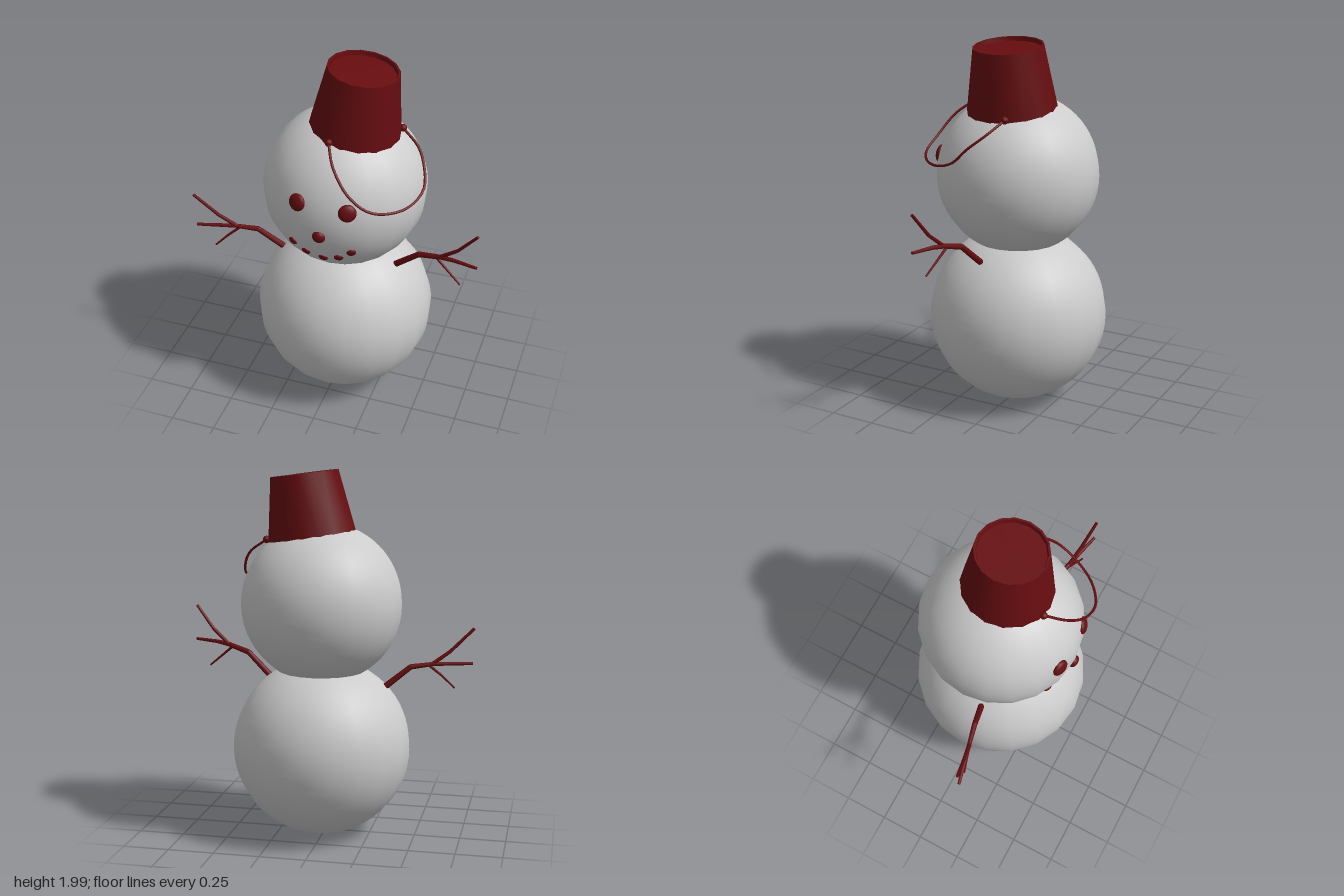
import * as THREE from 'three';
import { toCreasedNormals } from 'three/addons/utils/BufferGeometryUtils.js';

const V = (x, y, z) => new THREE.Vector3(x, y, z);

export function createModel() {
  const model = new THREE.Group();
  model.name = 'snowman';
  const snow = new THREE.MeshStandardMaterial({ color: 0xcccccc });
  const red = new THREE.MeshStandardMaterial({ color: 0x660d10 });
  const redThin = new THREE.MeshStandardMaterial({ color: 0x660d10, side: THREE.DoubleSide });

  const add = (name, geometry, material, parent = model) => {
    const mesh = new THREE.Mesh(geometry, material);
    mesh.name = name;
    parent.add(mesh);
    return mesh;
  };

  // Snowballs
  const headCentre = V(0.02, 1.28, 0);
  const headRadius = 0.436;
  add('body', new THREE.SphereGeometry(0.486, 20, 32), snow).position.set(0.02, 0.49, 0);
  add('head', new THREE.SphereGeometry(headRadius, 20, 32), snow).position.copy(headCentre);

  // Flattened buttons laid on the head, facing outward
  const button = (name, x, y, radius, depth) => {
    const dx = x - headCentre.x, dy = y - headCentre.y;
    const normal = V(dx, dy, Math.sqrt(headRadius ** 2 - dx * dx - dy * dy)).normalize();
    const mesh = add(name, new THREE.SphereGeometry(1, 16, 10), red);
    mesh.scale.set(radius, radius, depth);
    mesh.position.copy(headCentre).addScaledVector(normal, headRadius - 0.002);
    mesh.quaternion.setFromUnitVectors(V(0, 0, 1), normal);
  };
  button('rightEye', -0.103, 1.385, 0.047, 0.022);
  button('leftEye', 0.163, 1.372, 0.047, 0.022);
  button('nose', 0.02, 1.215, 0.035, 0.024);
  [[-0.145, 1.11], [-0.075, 1.06], [0.02, 1.04], [0.105, 1.06], [0.175, 1.11]]
    .forEach(([x, y], i) => button('mouth' + (i + 1), x, y, 0.025, 0.012));

  // Upturned bucket hat with a recessed base
  const profile = [[0.244, -0.025], [0.185, 0.34], [0.174, 0.34], [0.17, 0.318], [0, 0.318]]
    .map(([r, y]) => new THREE.Vector2(r, y));
  const bucket = add('bucketHat',
    toCreasedNormals(new THREE.LatheGeometry(profile, 16), 0.6), redThin);
  bucket.position.set(0.073, 1.636, 0.006);
  bucket.rotation.z = -0.125;

  // Drooping wire handle and its two pivots
  const wire = [
    V(0.01, 1.66, 0.24), V(0.07, 1.585, 0.345), V(0.17, 1.475, 0.405), V(0.28, 1.41, 0.41),
    V(0.385, 1.385, 0.34), V(0.45, 1.385, 0.24), V(0.48, 1.42, 0.13), V(0.46, 1.49, 0.06),
    V(0.405, 1.56, -0.02), V(0.305, 1.625, -0.075),
  ];
  add('bucketHandle',
    new THREE.TubeGeometry(new THREE.CatmullRomCurve3(wire), 36, 0.007, 6), redThin);
  for (const end of [wire[0], wire[wire.length - 1]]) {
    add('handlePivot', new THREE.SphereGeometry(0.02, 10, 8), red).position.copy(end);
  }

  // Tapered twig through [x, y] points, sweeping forward as it leaves the body
  const twig = (name, points, r0, r1, parent) => {
    const path = points.map(([x, y]) => V(x, y, 0.06 + (Math.abs(x) - 0.325) * 0.26));
    const radius = i => r0 + (r1 - r0) * i / (path.length - 1);
    for (let i = 0; i < path.length - 1; i++) {
      const along = path[i + 1].clone().sub(path[i]);
      const piece = add(name,
        new THREE.CylinderGeometry(radius(i + 1), radius(i), along.length(), 8), red, parent);
      piece.position.copy(path[i]).addScaledVector(along, 0.5);
      piece.quaternion.setFromUnitVectors(V(0, 1, 0), along.normalize());
      if (i > 0) {
        add(name + 'Joint', new THREE.SphereGeometry(radius(i), 8, 6), red, parent)
          .position.copy(path[i]);
      }
    }
  };
  const arm = (name, main, upper, lower) => {
    const group = new THREE.Group();
    group.name = name;
    model.add(group);
    twig('branch', main, 0.018, 0.008, group);
    twig('upperTwig', upper, 0.011, 0.008, group);
    twig('lowerTwig', lower, 0.008, 0.005, group);
  };
  arm('rightArm',
    [[-0.3, 0.805], [-0.455, 0.93], [-0.575, 0.945], [-0.785, 0.945]],
    [[-0.57, 0.945], [-0.665, 1.015], [-0.79, 1.14]],
    [[-0.55, 0.94], [-0.62, 0.88], [-0.69, 0.81]]);
  arm('leftArm',
    [[0.31, 0.84], [0.46, 0.975], [0.585, 1.01], [0.66, 1.02], [0.79, 1.025]],
    [[0.58, 1.008], [0.68, 1.09], [0.785, 1.22]],
    [[0.56, 1.0], [0.62, 0.95], [0.705, 0.88]]);

  return model;
}
